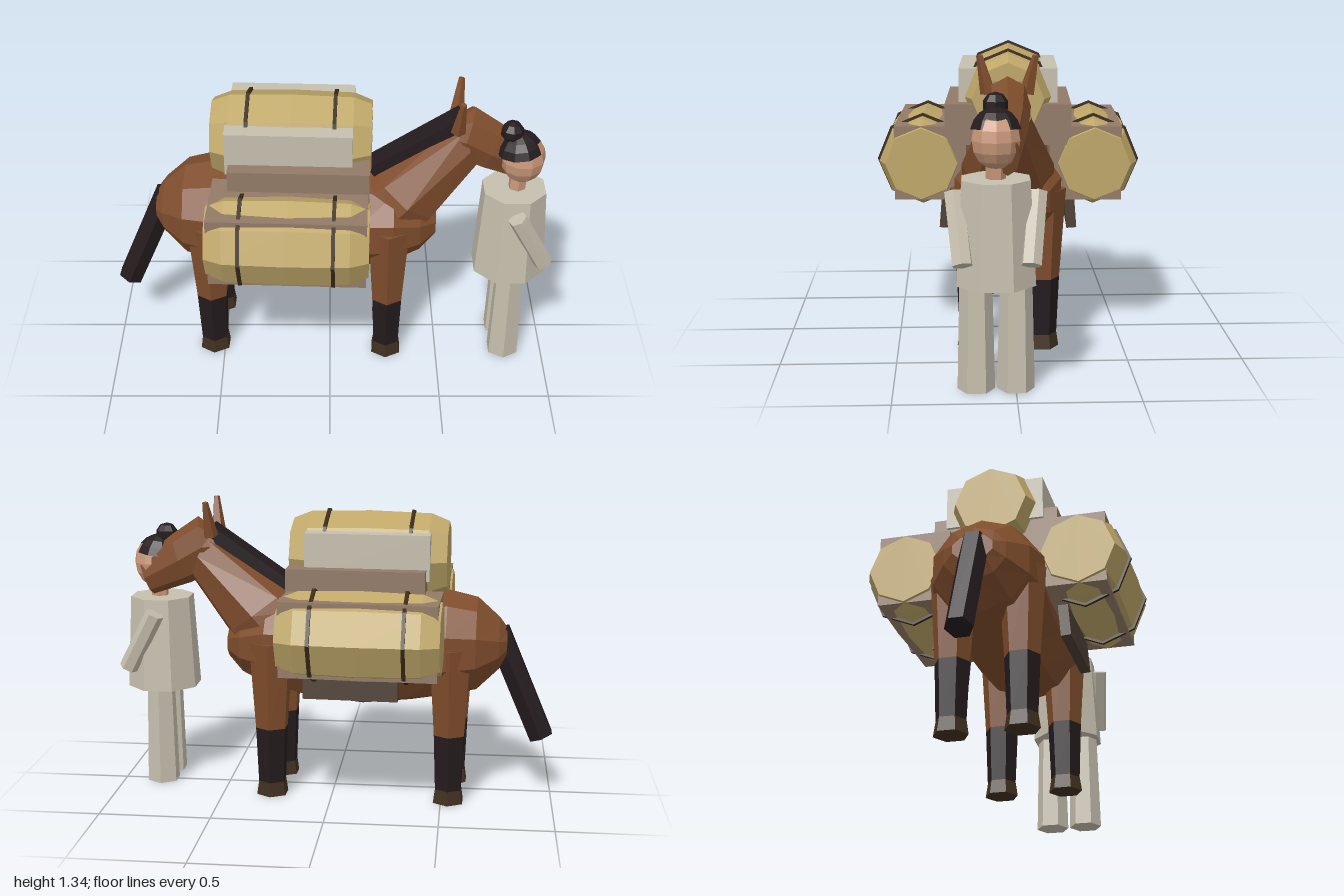
import * as THREE from 'three';

const mat = (name, color) => {
  const m = new THREE.MeshStandardMaterial({ color });
  m.name = name;
  return m;
};

// Split the faces so every facet gets its own normal
function facet(geo) {
  const g = geo.index ? geo.toNonIndexed() : geo;
  g.computeVertexNormals();
  return g;
}

function add(parent, name, geo, material, x = 0, y = 0, z = 0) {
  const mesh = new THREE.Mesh(facet(geo), material);
  mesh.name = name;
  mesh.position.set(x, y, z);
  parent.add(mesh);
  return mesh;
}

// Closed skin over elliptical rings, each [topX, topY, bottomX, bottomY, halfWidthZ]
function loft(rings, sides) {
  const pos = [], idx = [];
  rings.forEach(([tx, ty, bx, by, rz]) => {
    for (let j = 0; j < sides; j++) {
      const a = (j / sides) * Math.PI * 2, c = Math.cos(a) / 2;
      pos.push((tx + bx) / 2 + (tx - bx) * c, (ty + by) / 2 + (ty - by) * c, Math.sin(a) * rz);
    }
  });
  const n = rings.length;
  for (let i = 0; i < n - 1; i++) {
    for (let j = 0; j < sides; j++) {
      const k = (j + 1) % sides, a = i * sides + j, b = i * sides + k;
      idx.push(a, b, a + sides, b, b + sides, a + sides);
    }
  }
  const last = (n - 1) * sides;
  for (let j = 1; j < sides - 1; j++) {
    idx.push(0, j + 1, j, last, last + j, last + j + 1);
  }
  const g = new THREE.BufferGeometry();
  g.setAttribute('position', new THREE.Float32BufferAttribute(pos, 3));
  g.setIndex(idx);
  return g;
}

// Tapered prism between two points
function limb(parent, name, material, from, to, r0, r1, sides = 6) {
  const a = new THREE.Vector3(...from), b = new THREE.Vector3(...to);
  const dir = b.clone().sub(a), mid = a.clone().add(b).multiplyScalar(0.5);
  const mesh = add(parent, name, new THREE.CylinderGeometry(r1, r0, dir.length(), sides), material, mid.x, mid.y, mid.z);
  mesh.quaternion.setFromUnitVectors(new THREE.Vector3(0, 1, 0), dir.normalize());
  return mesh;
}

export function createModel() {
  const coat = mat('chestnut coat', 0x7f4d2c);
  const dark = mat('black hair', 0x241b1d);
  const hoofMat = mat('hoof brown', 0x40301f);
  const straw = mat('straw bundle', 0xbfa768);
  const strapMat = mat('strap brown', 0x3a2a18);
  const crate = mat('crate taupe', 0x937b67);
  const cloth = mat('pale cloth', 0xc6bfae);
  const flapMat = mat('saddle flap', 0x4d3f34);
  const skin = mat('skin', 0xc9987a);

  const model = new THREE.Group();
  model.name = 'packHorseAndHandler';

  // Horse and cargo, turned slightly towards the handler
  const horse = new THREE.Group();
  horse.name = 'horse';
  horse.rotation.y = -0.04;
  model.add(horse);

  const body = [
    [-0.785, 0.72, 0.06, 0.09], [-0.75, 0.71, 0.12, 0.14], [-0.65, 0.705, 0.215, 0.22],
    [-0.52, 0.705, 0.245, 0.255], [-0.35, 0.68, 0.25, 0.245], [-0.13, 0.665, 0.26, 0.24],
    [0.13, 0.68, 0.25, 0.235], [0.29, 0.7, 0.225, 0.245], [0.41, 0.69, 0.155, 0.19], [0.48, 0.69, 0.08, 0.12],
  ].map(([x, cy, ry, rz]) => [x, cy + ry, x, cy - ry, rz]);
  add(horse, 'body', loft(body, 10), coat);
  add(horse, 'neck', loft([
    [0.12, 0.9, 0.42, 0.6, 0.2],
    [0.2, 0.95, 0.495, 0.73, 0.2],
    [0.57, 1.2, 0.66, 0.97, 0.095],
  ], 8), coat);
  add(horse, 'head', loft([
    [0.57, 1.21, 0.5, 1.05, 0.07],
    [0.63, 1.257, 0.56, 1.0, 0.095],
    [0.75, 1.175, 0.67, 0.95, 0.085],
    [0.91, 1.05, 0.85, 0.89, 0.05],
  ], 8), coat);
  const mane = add(horse, 'mane', new THREE.BoxGeometry(0.47, 0.07, 0.12), dark, 0.385, 1.065, 0);
  mane.rotation.z = 0.6;
  limb(horse, 'tail', dark, [-0.74, 0.77, 0], [-0.95, 0.28, 0], 0.062, 0.06);

  for (const s of [1, -1]) {
    limb(horse, 'ear', coat, [0.555, 1.18, s * 0.08], [0.57, 1.335, s * 0.115], 0.034, 0.014, 5);
    for (const x of [-0.54, 0.27]) {
      const z = s * 0.15;
      limb(horse, 'upperLeg', coat, [x, 0.32, z], [x, 0.72, z], 0.077, 0.105);
      limb(horse, 'lowerLeg', dark, [x, 0.06, z], [x, 0.32, z], 0.066, 0.077);
      limb(horse, 'hoof', hoofMat, [x, 0, z], [x, 0.065, z], 0.076, 0.066);
    }
  }

  // Bulging straw bundle with two straps
  function bundle(name, cx, cy, cz, r, gap) {
    const g = new THREE.Group();
    g.name = name;
    g.position.set(cx, cy, cz);
    horse.add(g);
    const ring = (x, q) => [x, q, x, -q, q];
    add(g, 'straw', loft([
      ring(-0.35, r * 0.8), ring(-0.27, r * 0.96), ring(0, r), ring(0.27, r * 0.96), ring(0.35, r * 0.8),
    ], 8), straw);
    for (const s of [1, -1]) {
      add(g, 'strap', loft([ring(s * gap - 0.008, r + 0.006), ring(s * gap + 0.008, r + 0.006)], 8), strapMat);
    }
  }

  bundle('topBundle', -0.165, 1.1, 0, 0.2, 0.19);
  add(horse, 'topCrate', new THREE.BoxGeometry(0.55, 0.2, 0.44), cloth, -0.17, 1.125, 0);
  add(horse, 'packBase', new THREE.BoxGeometry(0.61, 0.18, 0.56), crate, -0.125, 0.985, 0);
  for (const s of [1, -1]) {
    bundle('sideBundle', -0.165, 0.81, s * 0.385, 0.2, 0.2);
    add(horse, 'sideCrate', new THREE.BoxGeometry(0.68, 0.33, 0.32), crate, -0.165, 0.812, s * 0.345);
    const flap = add(horse, 'saddleFlap', new THREE.BoxGeometry(0.42, 0.2, 0.045), flapMat, -0.11, 0.6, s * 0.28);
    flap.rotation.x = -s * 0.08;
  }

  // Handler
  const man = new THREE.Group();
  man.name = 'handler';
  man.position.set(0.82, 0, 0.08);
  model.add(man);
  limb(man, 'tunic', cloth, [0, 0.45, 0], [0, 0.877, 0], 0.172, 0.147, 8).rotation.y = Math.PI / 8;
  limb(man, 'neck', skin, [0.01, 0.86, 0], [0.015, 0.95, 0], 0.04, 0.04);
  for (const s of [1, -1]) {
    limb(man, 'leg', cloth, [0, 0, s * 0.081], [0, 0.46, s * 0.081], 0.077, 0.066);
    limb(man, 'arm', cloth, [0, 0.82, s * 0.165], [0.14, 0.555, s * 0.135], 0.043, 0.043);
  }
  const head = add(man, 'head', new THREE.SphereGeometry(0.1, 10, 8), skin, 0.025, 1.035, 0);
  head.scale.y = 1.18;
  const cap = add(man, 'hair', new THREE.SphereGeometry(0.108, 10, 4, 0, Math.PI * 2, 0, Math.PI * 0.42), dark, 0.012, 1.045, 0);
  cap.material.side = THREE.DoubleSide;
  cap.scale.y = 1.1;
  cap.rotation.z = 0.12;
  add(man, 'hairBun', new THREE.SphereGeometry(0.052, 8, 5), dark, -0.03, 1.165, 0);

  return model;
}
